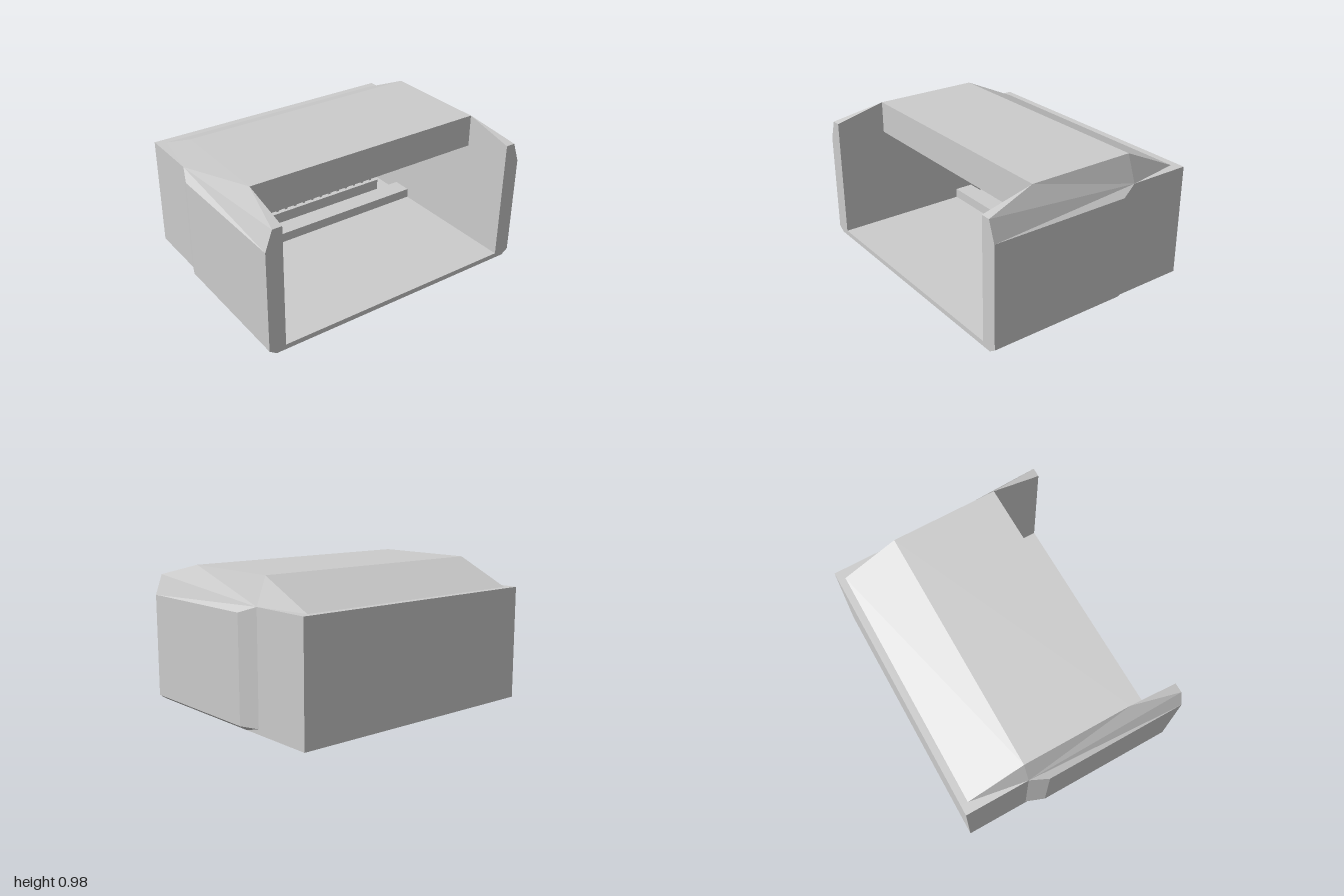
import * as THREE from 'three';

const W = 0.882; // half width of the hall inside

export function createModel() {
  const model = new THREE.Group();
  const material = new THREE.MeshStandardMaterial({ color: 0xcccccc, flatShading: true });

  const add = (name, geometry, parent = model) => {
    const mesh = new THREE.Mesh(geometry, material);
    mesh.name = name;
    parent.add(mesh);
    return mesh;
  };

  // Flat convex polygons, each cut into a fan of triangles
  const faceted = (polygons) => {
    const points = [];
    for (const p of polygons)
      for (let i = 1; i < p.length - 1; i++) points.push(...p[0], ...p[i], ...p[i + 1]);
    const geometry = new THREE.BufferGeometry();
    geometry.setAttribute('position', new THREE.Float32BufferAttribute(points, 3));
    geometry.computeVertexNormals();
    return geometry;
  };

  // Sheet of given half width that follows a path of [y, z] points
  const strip = (w, path) => faceted(path.slice(1).map(([y2, z2], i) => {
    const [y1, z1] = path[i];
    return [[-w, y1, z1], [w, y1, z1], [w, y2, z2], [-w, y2, z2]];
  }));

  // Side wall: swollen front panel, sloped shoulders, plain rear part
  const footFront = [0.95, 0, 0.79], lowFront = [1, 0.035, 0.79], highFront = [1, 0.75, 0.79];
  const topOuter = [0.95, 0.89, 0.79], topInner = [W, 0.89, 0.79];
  const roofFront = [W, 0.98, 0.43], roofBack = [W, 0.98, -0.34], roofFoot = [W, 0.795, -0.74];
  const lowBack = [1, 0.035, -0.21], highBack = [1, 0.75, -0.21];
  const neckTop = [0.95, 0.795, -0.34], neckLow = [0.95, 0.035, -0.34], neckFoot = [0.95, 0, -0.21];
  const rearTop = [0.95, 0.795, -0.79];
  const wall = [
    [[W, 0, 0.79], footFront, lowFront, highFront, topOuter, topInner],
    [lowFront, lowBack, highBack, highFront],
    [footFront, neckFoot, lowBack, lowFront],
    [neckFoot, neckLow, lowBack],
    [lowBack, neckLow, neckTop, highBack],
    [highFront, highBack, neckTop],
    [highFront, neckTop, topOuter],
    [topOuter, neckTop, roofFront],
    [roofFront, neckTop, roofBack],
    [roofBack, neckTop, roofFoot],
    [topInner, topOuter, roofFront],
    [neckFoot, [0.95, 0, -0.79], rearTop, neckTop, neckLow],
    [neckTop, rearTop, [W, 0.795, -0.79], roofFoot],
    [[W, 0.75, 0.43], [W, 0.75, -0.74], [W, 0.035, -0.74], [W, 0.035, 0.79], topInner, roofFront],
  ];
  const mirrored = wall.map((p) => p.map(([x, y, z]) => [-x, y, z]).reverse());
  // keep the concave inner wall fanned from its inner corner
  mirrored[13].unshift(mirrored[13].pop());
  add('leftWall', faceted(wall));
  add('rightWall', faceted(mirrored));

  // Roof with ceiling, fascia and rear slope
  add('roof', strip(W, [[0.75, -0.74], [0.75, 0.43], [0.98, 0.43], [0.98, -0.34], [0.795, -0.74], [0.795, -0.79]]));
  add('backWallAndBase', strip(0.95, [[0.795, -0.79], [0, -0.79], [0, 0.79]]));

  // Floor, low barrier and inner back wall
  add('floor', strip(W, [[0, 0.79], [0.035, 0.79], [0.035, -0.2], [0.105, -0.2],
    [0.105, -0.343], [0.035, -0.343], [0.035, -0.74], [0.75, -0.74]]));

  // Seat parts: chamfered back, cushion and pedestal
  const backShape = new THREE.Shape([
    [-0.016, 0.012], [0.016, 0.012], [0.024, 0.026], [0.024, 0.05],
    [0.016, 0.061], [-0.016, 0.061], [-0.024, 0.05], [-0.024, 0.026],
  ].map(([x, y]) => new THREE.Vector2(x, y)));
  const backGeometry = new THREE.ExtrudeGeometry(backShape, { depth: 0.008, bevelEnabled: false });
  const cushionGeometry = new THREE.BoxGeometry(0.046, 0.01, 0.03);
  const pedestalGeometry = new THREE.BoxGeometry(0.022, 0.018, 0.016);

  // Five raked rows of eighteen seats
  const stand = new THREE.Group();
  stand.name = 'seatingStand';
  model.add(stand);
  for (let row = 0; row < 5; row++) {
    const top = 0.12 + row * 0.05, z = -0.47 - row * 0.06;
    const step = add('step', new THREE.BoxGeometry(1.47, top - 0.035, 0.06), stand);
    step.position.set(0.027, (top + 0.035) / 2, z);
    for (let i = 0; i < 18; i++) {
      const seat = new THREE.Group();
      seat.name = 'seat';
      seat.position.set(-0.644 + i * 0.0795, top, z);
      add('seatBack', backGeometry, seat).position.z = -0.024;
      add('cushion', cushionGeometry, seat).position.set(0, 0.022, 0);
      add('pedestal', pedestalGeometry, seat).position.set(0, 0.009, -0.004);
      stand.add(seat);
    }
  }
  return model;
}
